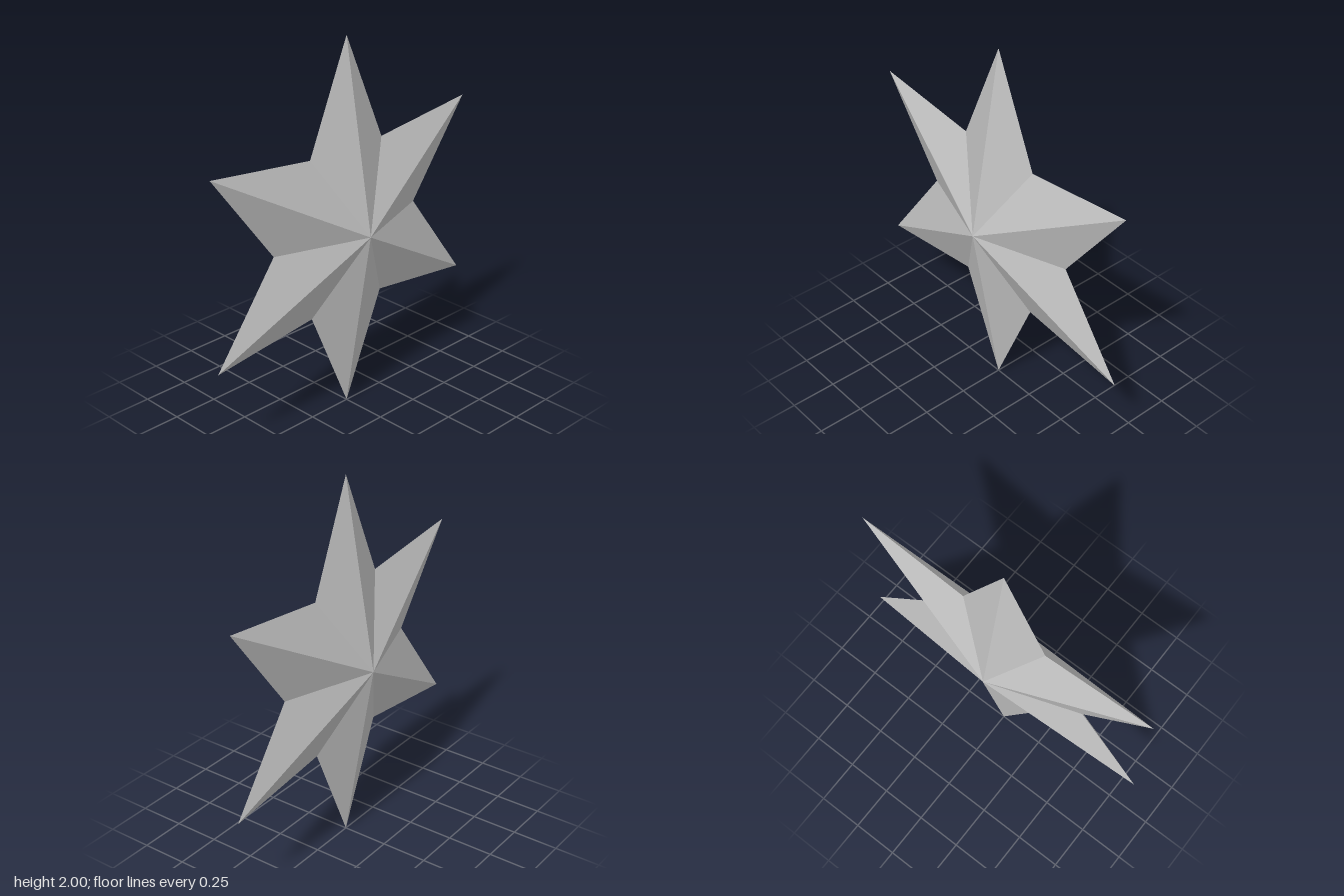
import * as THREE from 'three';

const POINTS = 6;
const OUTER = 1;
const INNER = 0.494;
const DEPTH = 0.17;

// One faceted half of the star: a fan from the raised centre to the outline.
function starHalf(side) {
  const rim = (i) => {
    const r = i % 2 === 0 ? OUTER : INNER;
    const a = Math.PI / 2 + (i * Math.PI) / POINTS;
    return [r * Math.cos(a), r * Math.sin(a), 0];
  };
  const positions = [];
  for (let i = 0; i < POINTS * 2; i++) {
    const edge = side > 0 ? [rim(i), rim(i + 1)] : [rim(i + 1), rim(i)];
    positions.push(0, 0, side * DEPTH, ...edge[0], ...edge[1]);
  }
  const geometry = new THREE.BufferGeometry();
  geometry.setAttribute('position', new THREE.Float32BufferAttribute(positions, 3));
  geometry.computeVertexNormals();
  return geometry;
}

export function createModel() {
  const silver = new THREE.MeshStandardMaterial({ color: 0xc0c0c0 });
  silver.name = 'silver';
  silver.flatShading = true;

  const star = new THREE.Group();
  star.name = 'star';

  // Mirrored front and back halves
  for (const [name, side] of [['starFront', 1], ['starBack', -1]]) {
    const half = new THREE.Mesh(starHalf(side), silver);
    half.name = name;
    half.position.y = OUTER;
    star.add(half);
  }
  return star;
}
